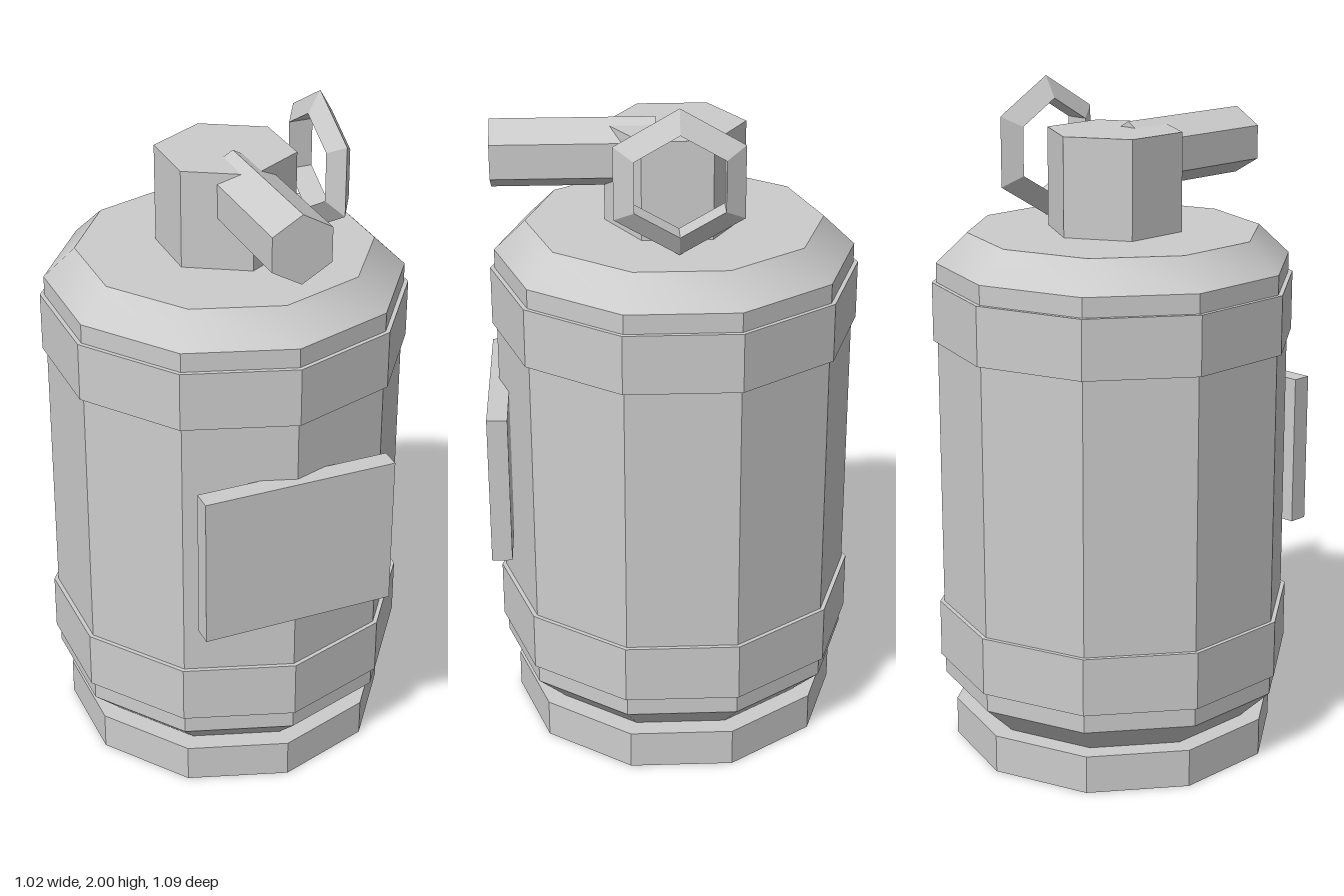
import * as THREE from 'three';
import { toCreasedNormals } from 'three/addons/utils/BufferGeometryUtils.js';

export function createModel() {
  const model = new THREE.Group();
  model.name = 'canister';
  const grey = new THREE.MeshStandardMaterial({ color: 0xcccccc });
  grey.name = 'grey metal';
  const axisZ = -0.007; // the canister axis sits slightly behind the origin

  const add = (name, geometry, x = 0, y = 0, z = axisZ) => {
    const mesh = new THREE.Mesh(toCreasedNormals(geometry, Math.PI / 6), grey);
    mesh.name = name;
    mesh.position.set(x, y, z);
    model.add(mesh);
    return mesh;
  };
  // upright prism between two heights
  const prism = (name, radius, y0, y1, sides) =>
    add(name, new THREE.CylinderGeometry(radius, radius, y1 - y0, sides), 0, (y0 + y1) / 2);

  // ten-sided body with bevelled ends
  const profile = [[0, 0.115], [0.431, 0.115], [0.525, 0.206], [0.525, 1.492], [0.433, 1.58], [0, 1.58]];
  add('body', new THREE.LatheGeometry(profile.map(([r, y]) => new THREE.Vector2(r, y)), 10));

  // foot and the two raised bands
  prism('foot', 0.493, 0, 0.115, 10);
  prism('lowerBand', 0.538, 0.265, 0.44, 10);
  prism('upperBand', 0.538, 1.26, 1.435, 10);

  // label plate on the front
  add('frontPlate', new THREE.BoxGeometry(0.58, 0.46, 0.06), 0, 0.85, 0.516);

  // six-sided head with a lever pointing forward
  prism('head', 0.203, 1.56, 1.87, 6);
  const lever = new THREE.CylinderGeometry(0.101, 0.101, 0.47, 6).rotateX(Math.PI / 2);
  add('lever', lever, 0, 1.786, 0.283);

  // pull ring with a triangular section
  const ring = new THREE.TorusGeometry(0.167, 0.043, 3, 6).rotateZ(Math.PI / 2).rotateY(Math.PI / 2);
  add('pullRing', ring, 0.291, 1.79);

  return model;
}
